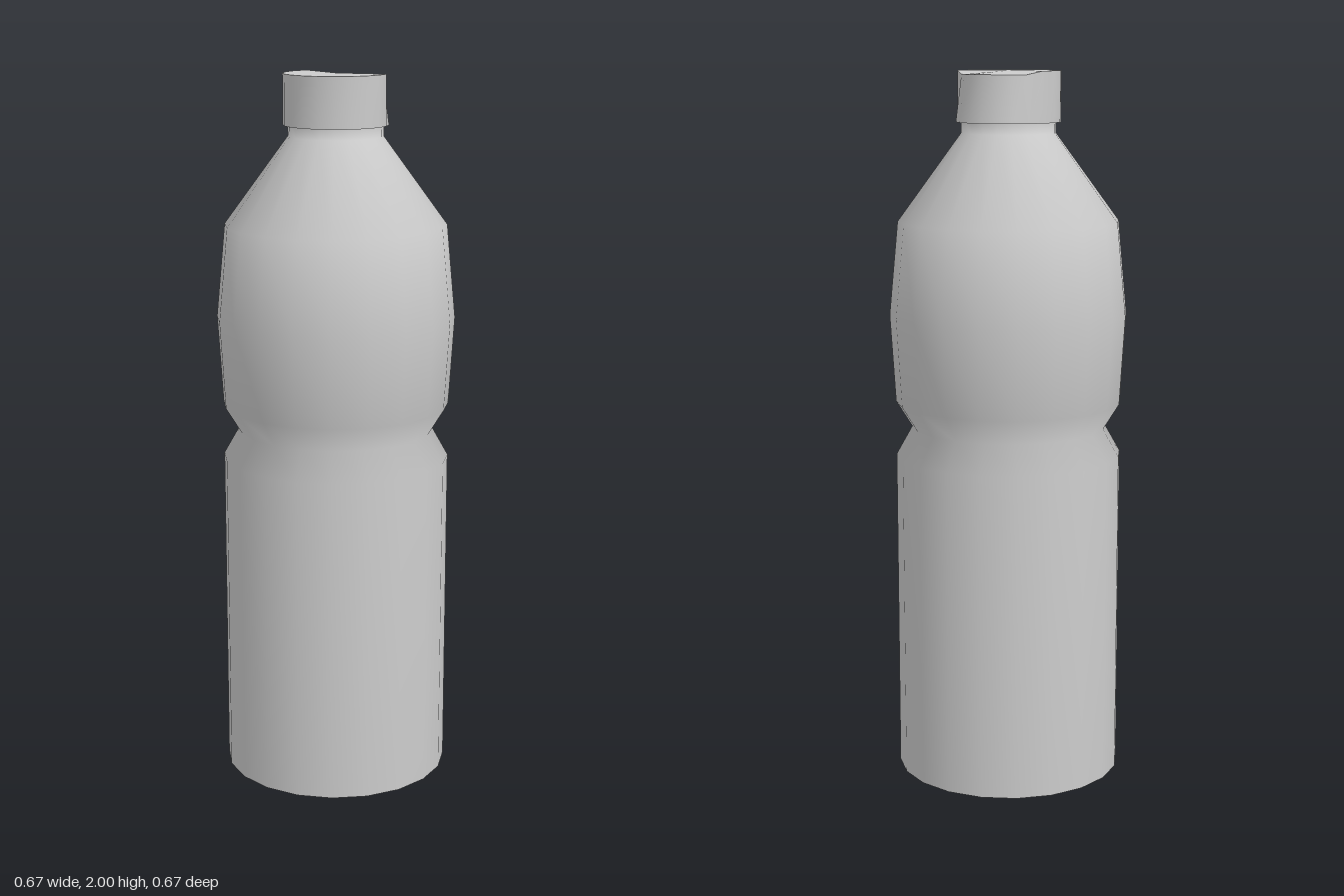
import * as THREE from 'three';
import { toCreasedNormals } from 'three/addons/utils/BufferGeometryUtils.js';

const SIDES = 20;

export function createModel() {
  const bottle = new THREE.Group();
  bottle.name = 'bottle';
  const material = new THREE.MeshStandardMaterial({ color: 0xcccccc });
  const add = (name, geometry) => {
    const mesh = new THREE.Mesh(geometry, material);
    mesh.name = name;
    bottle.add(mesh);
  };

  // Body: straight lower half, pinched waist, bulging upper half, shoulder and neck
  const profile = [
    [0.32, 0], [0.32, 0.925], [0.275, 1.005], [0.32, 1.078],
    [0.335, 1.325], [0.31, 1.587], [0.132, 1.83], [0.132, 1.87],
  ].map(([r, y]) => new THREE.Vector2(r, y));
  add('body', new THREE.LatheGeometry(profile, SIDES));

  // Flat base, turned to match the corners of the body
  const base = new THREE.CircleGeometry(0.32, SIDES);
  base.rotateX(Math.PI / 2);
  add('base', base);

  // Cap: the back of its top rim is pressed in and slightly down
  const cap = new THREE.CylinderGeometry(0.146, 0.146, 0.14, SIDES);
  cap.translate(0, 1.93, 0);
  const p = cap.attributes.position;
  for (let i = 0; i < p.count; i++) {
    if (p.getY(i) > 1.95 && p.getZ(i) < -0.06) {
      p.setXYZ(i, p.getX(i) * 0.89, 1.99, p.getZ(i) * 0.89);
    }
  }
  add('cap', toCreasedNormals(cap, 0.7));

  return bottle;
}
